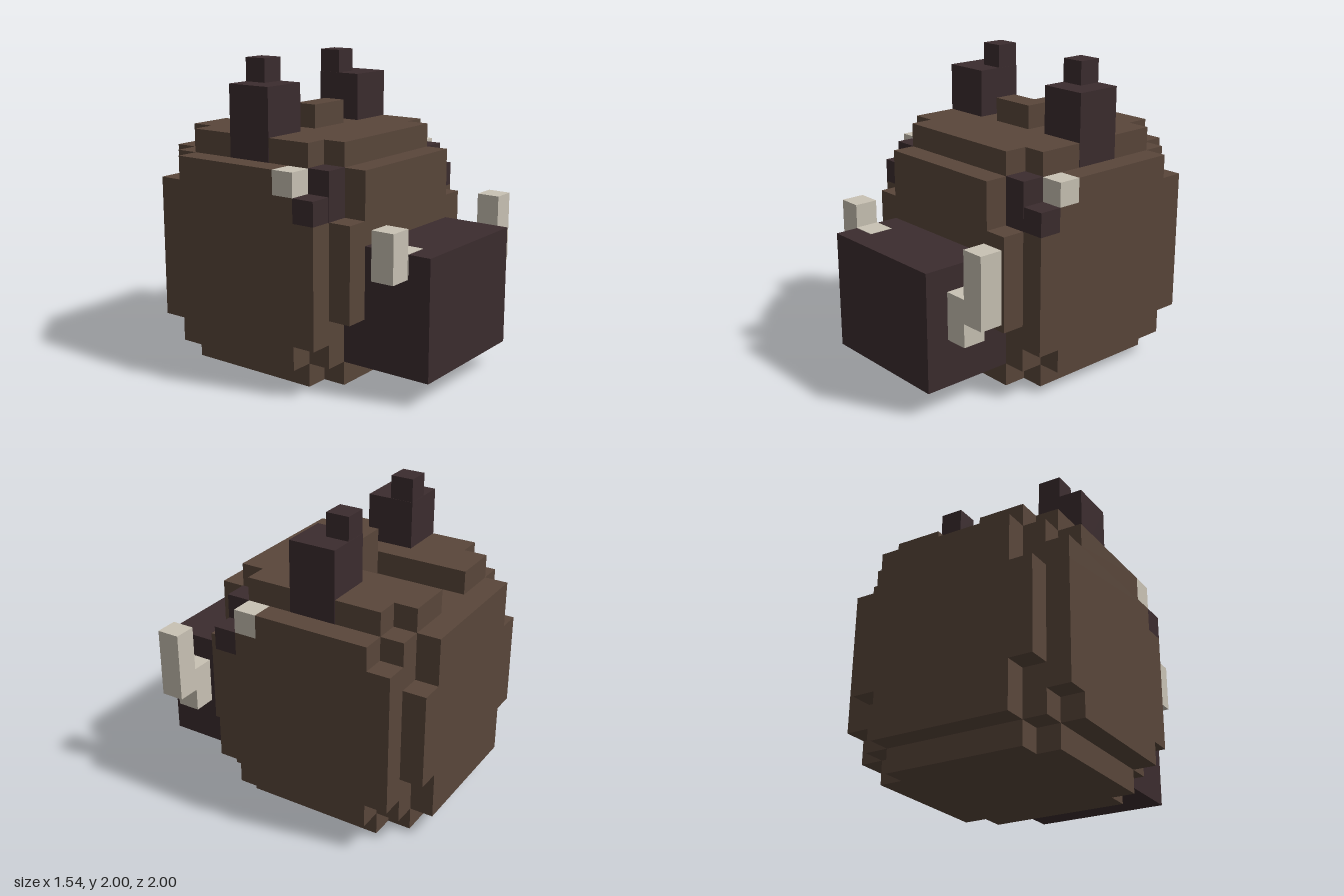
import * as THREE from 'three';

const U = 2 / 13; // one voxel

export function createModel() {
  const model = new THREE.Group();
  model.name = 'blockBoarHead';
  const mat = (name, color) => {
    const m = new THREE.MeshStandardMaterial({ color });
    m.name = name;
    return m;
  };
  const brown = mat('brown fur', 0x59463a);
  const dark = mat('dark brown', 0x3b2c2e);
  const cream = mat('ivory', 0xc9c2b4);

  const part = (name) => {
    const g = new THREE.Group();
    g.name = name;
    model.add(g);
    return g;
  };
  // Box between two corners in voxels; grow lifts it clear of flush faces
  const box = (group, name, material, [x0, x1], [y0, y1], [z0, z1], grow = 0) => {
    const g = 2 * grow;
    const geo = new THREE.BoxGeometry((x1 - x0 + g) * U, (y1 - y0 + g) * U, (z1 - z0 + g) * U);
    const mesh = new THREE.Mesh(geo, material);
    mesh.name = name;
    mesh.position.set((x0 + x1) / 2 * U, (y0 + y1) / 2 * U, (z0 + z1) / 2 * U);
    group.add(mesh);
  };
  const span = (s, a, b) => (s > 0 ? [a, b] : [-b, -a]);

  // Head core and bottom plate with notched corners
  const head = part('head');
  box(head, 'core', brown, [-4, 4], [1, 9], [-5.5, 2.5]);
  box(head, 'bottomPlate', brown, [-4, 4], [0, 1], [-4.5, 1.5]);
  box(head, 'bottomPlateFront', brown, [-3, 3], [0, 1], [1.5, 2.5]);
  box(head, 'bottomPlateBack', brown, [-3, 3], [0, 1], [-5.5, -4.5]);

  // Top plate, open along the middle behind the tuft
  box(head, 'topPlate', brown, [-4, 4], [9, 10], [-1.5, 1.5]);
  box(head, 'topPlateFront', brown, [-3, 3], [9, 10], [1.5, 2.5]);
  box(head, 'tuft', brown, [-1, 1], [10, 11], [-1.5, -0.5]);

  // Forehead and back plate
  box(head, 'forehead', brown, [-3, 3], [6, 9], [2.5, 3.5]);
  box(head, 'backPlate', brown, [-3, 3], [1, 9], [-6.5, -5.5]);

  for (const s of [1, -1]) {
    box(head, 'topRidge', brown, span(s, 1, 4), [9, 10], [-4.5, -1.5]);
    box(head, 'topRidgeBack', brown, span(s, 1, 3), [9, 10], [-5.5, -4.5]);
    box(head, 'frontCheek', brown, span(s, 3, 4), [3, 7], [2.5, 3.5]);
    box(head, 'backEdge', brown, span(s, 3, 4), [3, 7], [-6.5, -5.5]);

    // Side plate, cut away around the eye
    const side = span(s, 4, 5);
    box(head, 'sidePlate', brown, side, [2, 7], [-5.5, 2.5]);
    box(head, 'sidePlateUpper', brown, side, [7, 8], [-5.5, 1.5]);
    box(head, 'sidePlateTop', brown, side, [8, 9], [-4.5, 0.5]);
    box(head, 'sidePlateBottom', brown, side, [1, 2], [-4.5, 1.5]);

    // Eye wrapping the front corner, with a light outer block
    const eye = part(s > 0 ? 'leftEye' : 'rightEye');
    box(eye, 'eyeInner', dark, span(s, 3, 4), [7, 9], [1.5, 2.5], 0.02);
    box(eye, 'eyeOuter', dark, side, [7, 8], [1.5, 2.5]);
    box(eye, 'eyeLight', cream, side, [8, 9], [0.5, 1.5]);

    // Stepped ear
    const ear = part(s > 0 ? 'leftEar' : 'rightEar');
    box(ear, 'earBase', dark, span(s, 2, 4), [9, 12], [-2.5, -0.5], 0.015);
    box(ear, 'earTip', dark, span(s, 2, 3), [12, 13], [-2.5, -1.5]);
  }

  // Snout
  box(model, 'snout', dark, [-3, 3], [1, 6], [2.5, 6.5]);

  // Uneven tusks
  const leftTusk = part('leftTusk');
  box(leftTusk, 'tuskRoot', cream, [3, 4], [3, 5], [4.5, 5.5]);
  box(leftTusk, 'tuskTip', cream, [4, 5], [4, 7], [4.5, 5.5]);
  const rightTusk = part('rightTusk');
  box(rightTusk, 'tuskRoot', cream, [-3, -2], [5, 6], [4.5, 5.5], 0.02);
  box(rightTusk, 'tuskTip', cream, [-4, -3], [5, 7], [4.5, 5.5]);

  return model;
}
